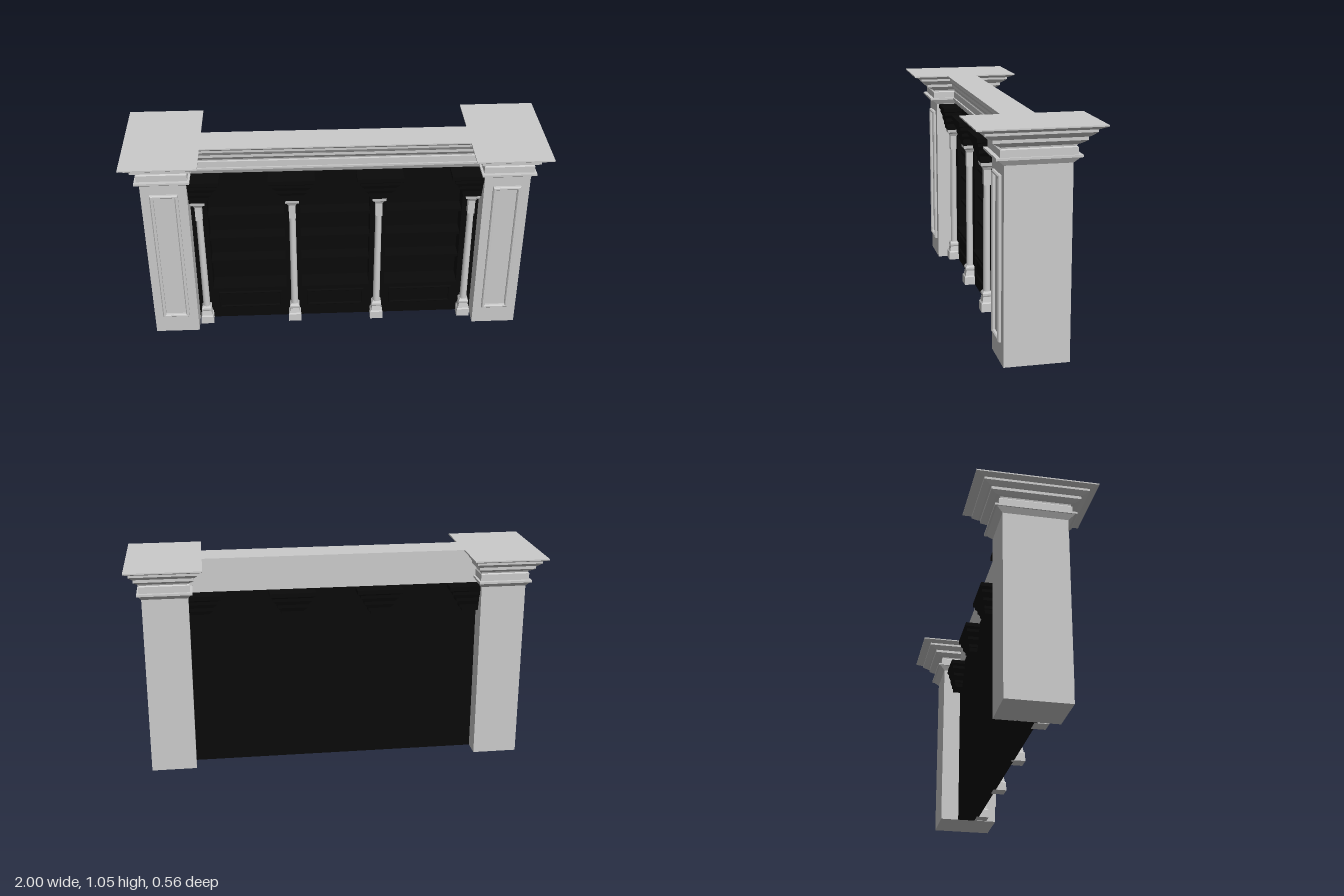
import * as THREE from 'three';

const grey = new THREE.MeshStandardMaterial({ color: 0xcccccc });
const black = new THREE.MeshStandardMaterial({ color: 0x0a0a0a });

// Cornice steps shared by the pillar caps and the beam: [height, overhang]
const CORNICE = [
  [0.89, 0], [0.915, 0.028], [0.915, 0.037], [0.925, 0.037], [0.925, 0.018],
  [0.957, 0.018], [0.962, 0.011], [0.969, 0.014], [0.975, 0.03], [0.989, 0.055],
  [1.003, 0.055], [1.006, 0.063], [1.024, 0.091], [1.035, 0.091], [1.038, 0.1],
  [1.049, 0.13], [1.055, 0.13],
];

function add(parent, name, geometry, material, x = 0, y = 0, z = 0) {
  const mesh = new THREE.Mesh(geometry, material);
  mesh.name = name;
  mesh.position.set(x, y, z);
  parent.add(mesh);
  return mesh;
}

function box(parent, name, material, x0, x1, y0, y1, z0, z1) {
  return add(parent, name, new THREE.BoxGeometry(x1 - x0, y1 - y0, z1 - z0), material,
    (x0 + x1) / 2, (y0 + y1) / 2, (z0 + z1) / 2);
}

// Flat-faced solid from stacked rectangles: [y, half width, half depth]
function loft(levels) {
  const pos = [];
  const ring = ([y, w, d]) => [[-w, y, d], [w, y, d], [w, y, -d], [-w, y, -d]];
  const quad = (a, b, c, d) => pos.push(...a, ...b, ...c, ...a, ...c, ...d);
  const rings = levels.map(ring);
  for (let i = 0; i + 1 < rings.length; i++) {
    const lo = rings[i], hi = rings[i + 1];
    for (let k = 0; k < 4; k++) {
      const n = (k + 1) % 4;
      quad(lo[k], lo[n], hi[n], hi[k]);
    }
  }
  quad(...rings[rings.length - 1]);
  quad(...rings[0].slice().reverse());
  const g = new THREE.BufferGeometry();
  g.setAttribute('position', new THREE.Float32BufferAttribute(pos, 3));
  g.computeVertexNormals();
  return g;
}

// Rectangular moulding frame with bevelled edges, its back on z = 0
function frame(w, h, t, depth) {
  const b = t * 0.3;
  const rect = (Type, hw, hh) => new Type([[-hw, -hh], [hw, -hh], [hw, hh], [-hw, hh]]
    .map(([x, y]) => new THREE.Vector2(x, y)));
  const shape = rect(THREE.Shape, w / 2 - b, h / 2 - b);
  shape.holes.push(rect(THREE.Path, w / 2 - t + b, h / 2 - t + b));
  const g = new THREE.ExtrudeGeometry(shape, {
    depth: depth - b, bevelEnabled: true, bevelSize: b, bevelThickness: b, bevelSegments: 1,
  });
  return g;
}

// End pillar with front panel moulding and spreading cap
function pillar(x) {
  const g = new THREE.Group();
  g.name = 'pillar';
  add(g, 'pillarShaft', loft([[0, 0.11, 0.149], [0.89, 0.11, 0.149]]), grey);
  add(g, 'pillarCap', loft(CORNICE.map(([y, o]) => [y, 0.11 + o * 0.54, 0.149 + o])), grey);
  add(g, 'panelMoulding', frame(0.135, 0.74, 0.017, 0.015), grey, 0, 0.47, 0.149);
  g.position.x = x;
  return g;
}

// Slender column: square foot, round shaft, square neck and capital
function column(x) {
  const g = new THREE.Group();
  g.name = 'column';
  add(g, 'columnFoot', loft([
    [0, 0.033, 0.033], [0.042, 0.032, 0.032], [0.048, 0.027, 0.027], [0.075, 0.022, 0.022],
    [0.082, 0.025, 0.025], [0.092, 0.025, 0.025], [0.102, 0.018, 0.018],
  ]), grey);
  add(g, 'columnShaft', new THREE.CylinderGeometry(0.016, 0.018, 0.55, 24), grey, 0, 0.37);
  add(g, 'columnCapital', loft([
    [0.64, 0.017, 0.017], [0.715, 0.017, 0.017], [0.73, 0.024, 0.024],
    [0.738, 0.033, 0.033], [0.755, 0.035, 0.035],
  ]), grey);
  g.position.set(x, 0, 0.066);
  return g;
}

// Dark stepped bracket above each column, reaching through to the back
function bracket(x) {
  return add(new THREE.Group(), 'bracket', loft([
    [0.755, 0.04, 0.1], [0.775, 0.045, 0.102], [0.775, 0.055, 0.106], [0.79, 0.055, 0.106],
    [0.81, 0.075, 0.115], [0.825, 0.075, 0.115], [0.845, 0.095, 0.125], [0.86, 0.095, 0.125],
    [0.868, 0.112, 0.133], [0.888, 0.112, 0.133],
  ]), black, x, 0, 0.003);
}

export function createModel() {
  const model = new THREE.Group();
  model.name = 'bookcaseWall';

  for (const s of [-1, 1]) model.add(pillar(s * 0.82));

  // Beam with moulded front and plain back
  const back = -0.059, front = 0.045;
  const outline = [[-back, 0.89], [-back, 1.055],
    ...CORNICE.map(([y, o]) => [-(front + o * 0.42), y]).reverse()];
  const beam = new THREE.ExtrudeGeometry(
    new THREE.Shape(outline.map(([x, y]) => new THREE.Vector2(x, y))),
    { depth: 1.44, bevelEnabled: false });
  beam.rotateY(Math.PI / 2);
  add(model, 'beam', beam, grey, -0.72);

  // Dark bookcase carcass
  const bookcase = new THREE.Group();
  bookcase.name = 'bookcase';
  model.add(bookcase);
  box(bookcase, 'backPanel', black, -0.72, 0.72, 0, 0.89, -0.056, -0.042);
  box(bookcase, 'header', black, -0.72, 0.72, 0.8, 0.889, -0.045, 0.035);

  const posts = [-0.67, -0.213, 0.213, 0.67];
  for (const x of posts) {
    box(bookcase, 'divider', black, x - 0.04, x + 0.04, 0, 0.8, -0.045, 0.045);
    bookcase.add(bracket(x));
    model.add(column(x));
  }

  // Bays: cupboard, ledge and shelves
  for (let i = 0; i < 3; i++) {
    const x0 = posts[i] + 0.04, x1 = posts[i + 1] - 0.04, mid = (x0 + x1) / 2;
    box(bookcase, 'cupboard', black, x0, x1, 0, 0.18, -0.045, 0.045);
    box(bookcase, 'ledge', black, x0, x1, 0.18, 0.195, -0.045, 0.055);
    add(bookcase, 'cupboardMoulding', frame(x1 - x0 - 0.05, 0.1, 0.012, 0.008), black, mid, 0.115, 0.045);
    for (const y of [0.34, 0.48, 0.62])
      box(bookcase, 'shelf', black, x0, x1, y, y + 0.015, -0.045, 0.03);
  }
  return model;
}
